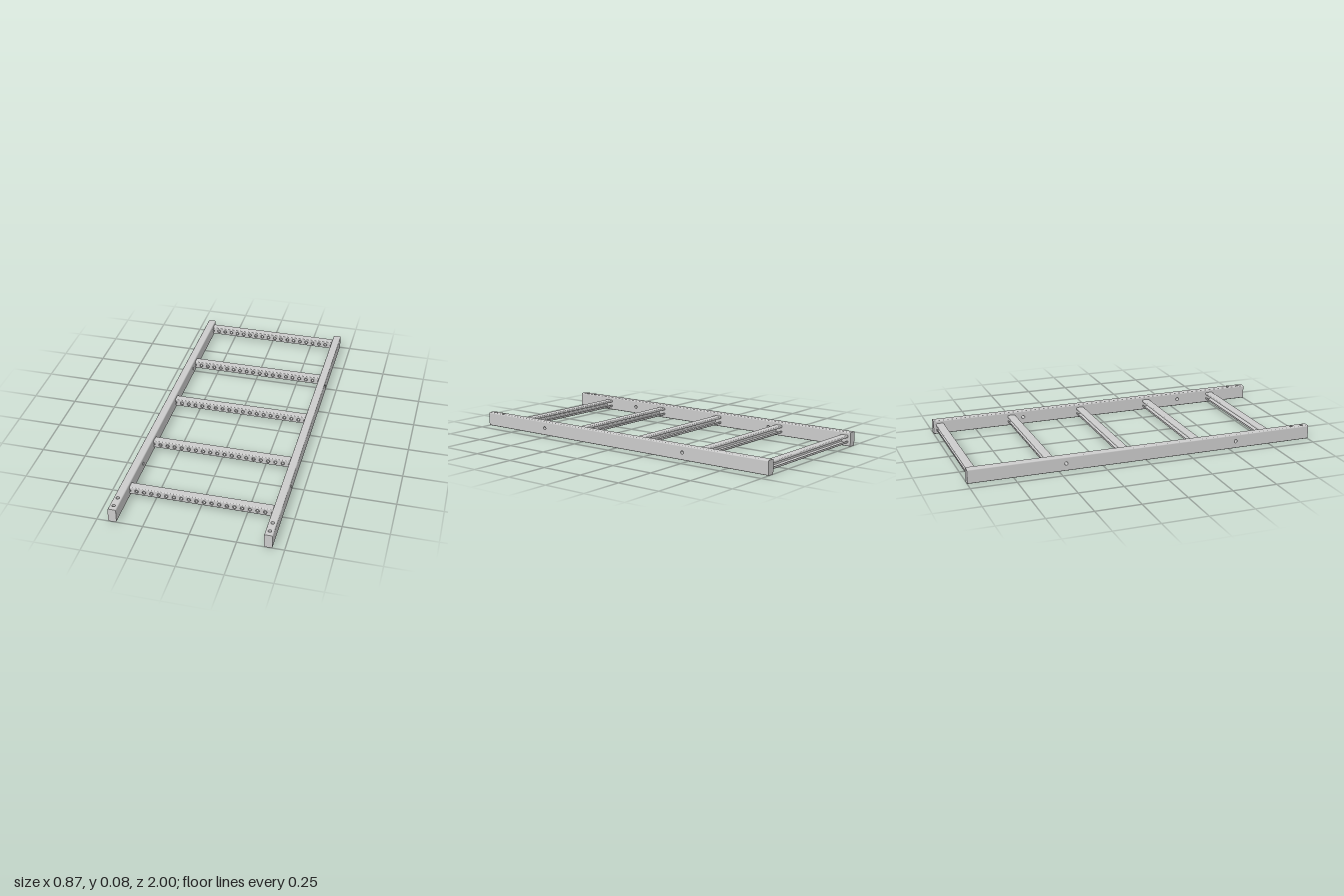
import * as THREE from 'three';

const RAIL = { x: 0.4145, w: 0.045, h: 0.08, r: 0.007 };
const HOLE_R = 0.0095;
const RUNG = { half: 0.408, depth: 0.045, y: 0.0405, h: 0.045, t: 0.004, r: 0.006 };

const circle = (x, y, r) => new THREE.Path().absarc(x, y, r, 0, Math.PI * 2, true);

function rectangle(w, h) {
  return new THREE.Shape([[-w, -h], [w, -h], [w, h], [-w, h]].map(([x, y]) => new THREE.Vector2(x / 2, y / 2)));
}

// Rounded rail section, also the end cap
function roundedRect(w, h, r) {
  const s = new THREE.Shape();
  const a = w / 2 - r, b = h / 2 - r, q = Math.PI / 2;
  [[a, b], [-a, b], [-a, -b], [a, -b]].forEach(([x, y], i) => s.absarc(x, y, r, i * q, (i + 1) * q, false));
  return s;
}

// Side rail: four walls with drilled holes, rounded edges, closed ends
function createRail(mat) {
  const rail = new THREE.Group();
  const { w, h, r } = RAIL;
  const add = (name, geo) => {
    const m = new THREE.Mesh(geo, mat);
    m.name = name;
    rail.add(m);
    return m;
  };
  const boltHoles = [0.54, -0.46];
  const endHoles = [0.9, 0.965];
  for (const s of [1, -1]) {
    const side = rectangle(2, h - 2 * r);
    boltHoles.forEach(z => side.holes.push(circle(-s * z, 0.002, HOLE_R)));
    const sideMesh = add('railSide', new THREE.ShapeGeometry(side, 16));
    sideMesh.rotation.y = s * Math.PI / 2;
    sideMesh.position.x = s * w / 2;

    const flat = rectangle(w - 2 * r, 2);
    endHoles.forEach(z => flat.holes.push(circle(0, -s * z, HOLE_R)));
    const flatMesh = add('railFlat', new THREE.ShapeGeometry(flat, 16));
    flatMesh.rotation.x = -s * Math.PI / 2;
    flatMesh.position.y = s * h / 2;

    const cap = add('railEnd', new THREE.ShapeGeometry(roundedRect(w, h, r), 6));
    cap.rotation.y = s > 0 ? 0 : Math.PI;
    cap.position.z = s;
  }
  // Rounded long edges
  for (const sx of [1, -1]) for (const sy of [1, -1]) {
    const start = sx > 0 ? (sy > 0 ? Math.PI / 2 : 0) : (sy > 0 ? Math.PI : Math.PI * 1.5);
    const geo = new THREE.CylinderGeometry(r, r, 2, 6, 1, true, start, Math.PI / 2);
    geo.rotateX(Math.PI / 2);
    add('railEdge', geo).position.set(sx * (w / 2 - r), sy * (h / 2 - r), 0);
  }
  // Hole walls
  const lining = length => new THREE.CylinderGeometry(HOLE_R, HOLE_R, length, 24, 1, true);
  boltHoles.forEach(z => add('boltHole', lining(w).rotateZ(Math.PI / 2)).position.set(0, 0.002, z));
  endHoles.forEach(z => add('endHole', lining(h)).position.set(0, 0, z));
  return rail;
}

// Bent flange with a short return lip; s = 1 upper, -1 lower. Shape x is z, shape y is y.
function flangeGeometry(s) {
  const { depth: d, h, t, r, half } = RUNG;
  const D = d / 2, H = h / 2, lip = 0.007;
  const pts = [];
  const arc = (cz, cy, rad, a0, a1) => {
    for (let i = 0; i <= 4; i++) {
      const a = a0 + (a1 - a0) * i / 4;
      pts.push(new THREE.Vector2(cz + rad * Math.cos(a), s * (cy + rad * Math.sin(a))));
    }
  };
  const q = Math.PI / 2;
  arc(D - r, H - r, r, 0, q);
  arc(-D + r, H - r, r, q, 2 * q);
  pts.push(new THREE.Vector2(-D, s * (H - r - lip)), new THREE.Vector2(-D + t, s * (H - r - lip)));
  arc(-D + r, H - r, r - t, 2 * q, q);
  arc(D - r, H - r, r - t, q, 0);
  const geo = new THREE.ExtrudeGeometry(new THREE.Shape(pts), { depth: 2 * half, bevelEnabled: false });
  // Extrusion axis to -x, section x to +z
  return geo.translate(0, 0, -half).rotateY(-Math.PI / 2);
}

function createRungParts() {
  const { depth, h, t, r, half } = RUNG;
  const web = rectangle(2 * half, h - 2 * r);
  const holes = Array.from({ length: 20 }, (_, i) => -0.394 + i * 0.0413);
  holes.forEach(x => web.holes.push(circle(x, 0.0005, 0.008)));
  const webGeo = new THREE.ExtrudeGeometry(web, { depth: t, bevelEnabled: false, curveSegments: 10 });
  webGeo.translate(0, 0, depth / 2 - t);
  // Raised collar round each perforation
  const collar = new THREE.LatheGeometry(
    [[0.0105, 0], [0.0095, 0.004], [0.008, 0.004], [0.008, -0.002]].map(p => new THREE.Vector2(...p)), 20);
  collar.rotateX(Math.PI / 2).translate(0, 0.0005, depth / 2);
  return { webGeo, collar, holes, flanges: [flangeGeometry(1), flangeGeometry(-1)] };
}

export function createModel() {
  const model = new THREE.Group();
  model.name = 'ladderTray';
  const mat = new THREE.MeshStandardMaterial({ color: 0xcccccc, side: THREE.DoubleSide });

  for (const s of [1, -1]) {
    const rail = createRail(mat);
    rail.name = s > 0 ? 'leftRail' : 'rightRail';
    rail.position.set(s * RAIL.x, RAIL.h / 2, 0);
    model.add(rail);
  }

  const parts = createRungParts();
  for (let i = 0; i < 5; i++) {
    const rung = new THREE.Group();
    rung.name = 'rung';
    const add = (name, geo, x = 0) => {
      const m = new THREE.Mesh(geo, mat);
      m.name = name;
      m.position.x = x;
      rung.add(m);
    };
    add('perforatedWeb', parts.webGeo);
    parts.flanges.forEach(g => add('flange', g));
    parts.holes.forEach(x => add('holeCollar', parts.collar, x));
    rung.position.set(0, RUNG.y, 0.758 - i * 0.43);
    model.add(rung);
  }
  return model;
}
